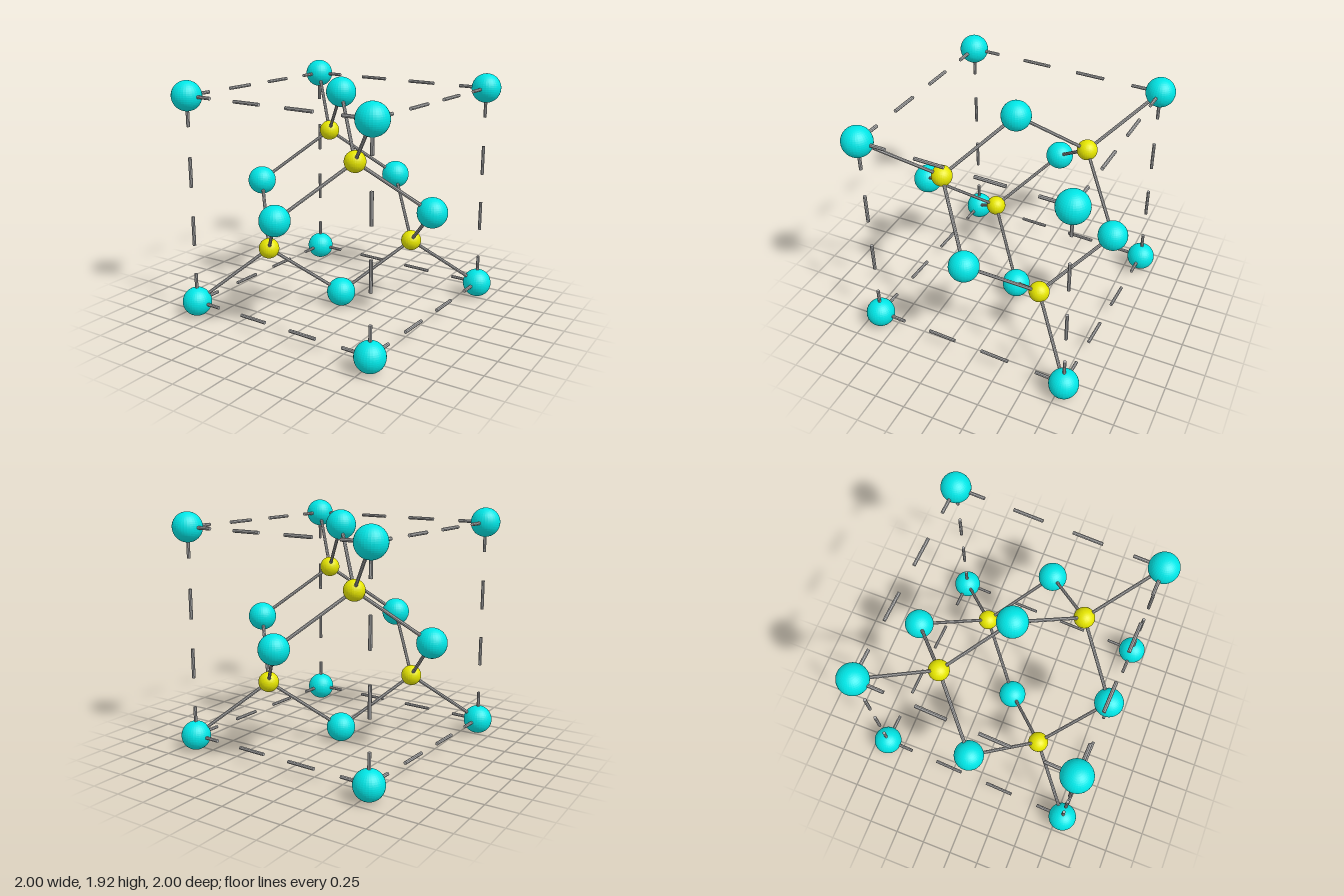
import * as THREE from 'three';

export function createModel() {
  const root = new THREE.Group();
  root.name = 'crystalCell';

  const paint = (name, color) => {
    const material = new THREE.MeshStandardMaterial({ color, flatShading: true });
    material.name = name;
    return material;
  };
  const cyan = paint('cyan', 0x00e6e6);
  const yellow = paint('yellow', 0xe6e600);
  const grey = paint('grey', 0xb0b0b0);

  const H = 0.841; // half the cell edge
  const V = (x, y, z) => new THREE.Vector3(x, y, z).multiplyScalar(H);
  const bigBall = new THREE.SphereGeometry(0.118, 32, 24);
  const smallBall = new THREE.SphereGeometry(0.083, 32, 24);
  const up = new THREE.Vector3(0, 1, 0);

  const ball = (name, geometry, material, position) => {
    const mesh = new THREE.Mesh(geometry, material);
    mesh.name = name;
    mesh.position.copy(position);
    root.add(mesh);
  };
  const rod = (name, a, b) => {
    const dir = b.clone().sub(a);
    const mesh = new THREE.Mesh(new THREE.CylinderGeometry(0.0138, 0.0138, dir.length(), 8), grey);
    mesh.name = name;
    mesh.position.copy(a).add(b).multiplyScalar(0.5);
    mesh.quaternion.setFromUnitVectors(up, dir.normalize());
    root.add(mesh);
  };

  // Corner atoms, and inner atoms with four bonds each
  for (const x of [-1, 1]) for (const y of [-1, 1]) for (const z of [-1, 1]) {
    ball('cornerAtom', bigBall, cyan, V(x, y, z));
    if (x * y * z < 0) continue;
    const inner = V(x / 2, y / 2, z / 2);
    ball('innerAtom', smallBall, yellow, inner);
    for (const end of [V(x, y, z), V(x, 0, 0), V(0, y, 0), V(0, 0, z)]) rod('bond', inner, end);
  }

  // Atoms at the face centres
  for (const s of [-1, 1]) {
    for (const p of [V(s, 0, 0), V(0, s, 0), V(0, 0, s)]) ball('faceAtom', bigBall, cyan, p);
  }

  // Dashed cell edges: four dashes and three equal gaps on each
  for (let axis = 0; axis < 3; axis++) for (const s of [-1, 1]) for (const t of [-1, 1]) {
    const at = (k) => {
      const c = [0, 0, 0];
      c[axis] = -1 + (2 * k) / 7;
      c[(axis + 1) % 3] = s;
      c[(axis + 2) % 3] = t;
      return V(...c);
    };
    for (let k = 0; k < 7; k += 2) rod('edgeDash', at(k), at(k + 1));
  }

  // The cell is turned slightly about the vertical
  root.rotation.y = -0.0476;
  root.position.y = H + 0.118;
  const model = new THREE.Group();
  model.name = 'crystalModel';
  model.add(root);
  return model;
}
